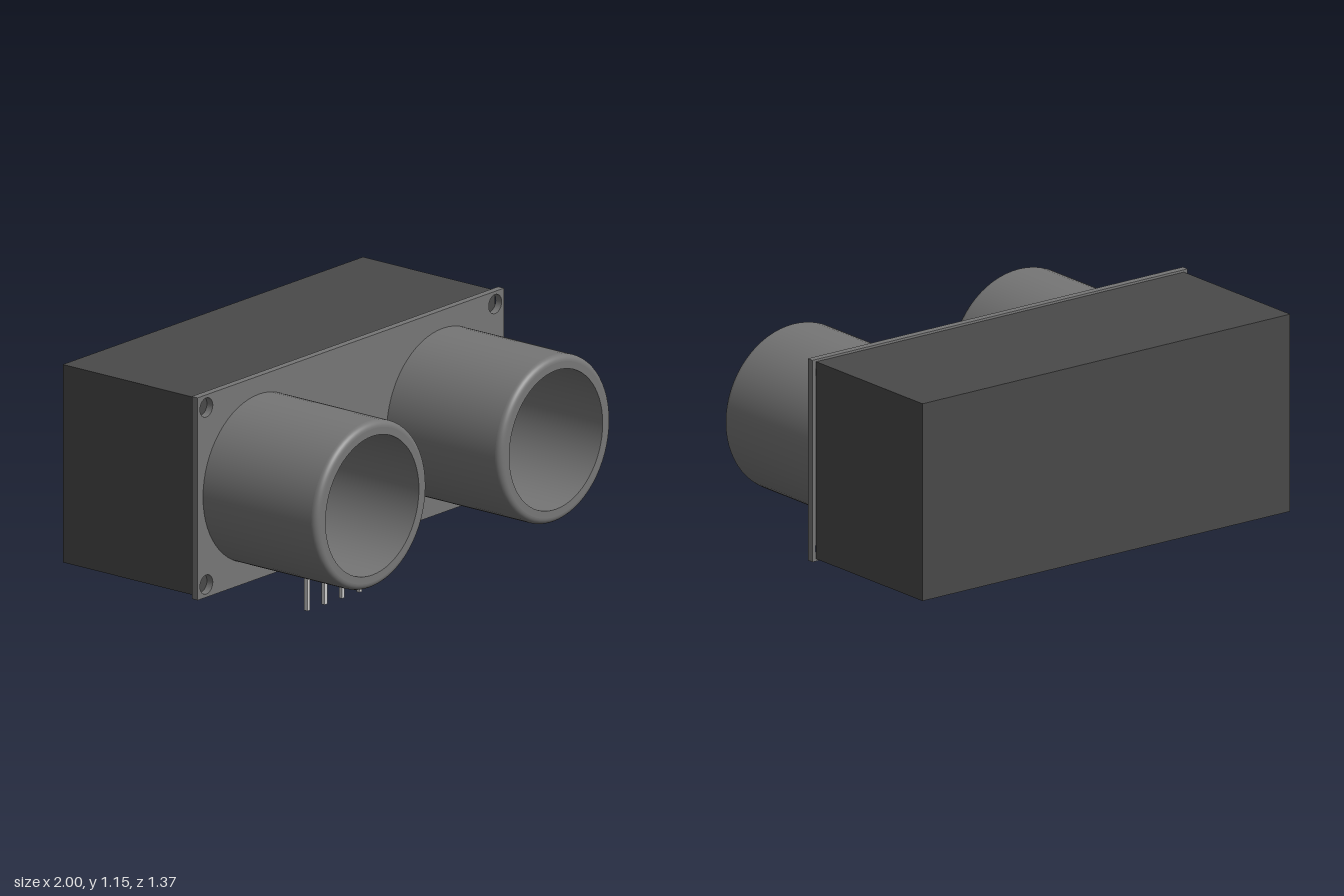
import * as THREE from 'three';

const mat = (color, side = THREE.FrontSide) => new THREE.MeshStandardMaterial({ color, side });
const boardMat = mat(0x767676);
const housingMat = mat(0x494949);
const pinMat = mat(0xcccccc);

function add(parent, name, geometry, material, x = 0, y = 0, z = 0) {
  const mesh = new THREE.Mesh(geometry, material);
  mesh.name = name;
  mesh.position.set(x, y, z);
  parent.add(mesh);
  return mesh;
}

const box = (w, h, d) => new THREE.BoxGeometry(w, h, d);

// Thin plate with a mounting hole in each corner
function boardGeometry(w, h, depth) {
  const shape = new THREE.Shape();
  shape.moveTo(-w / 2, -h / 2);
  shape.lineTo(w / 2, -h / 2);
  shape.lineTo(w / 2, h / 2);
  shape.lineTo(-w / 2, h / 2);
  shape.closePath();
  for (const sx of [-1, 1]) for (const sy of [-1, 1]) {
    const hole = new THREE.Path();
    hole.absarc(sx * (w / 2 - 0.057), sy * (h / 2 - 0.056), 0.042, 0, Math.PI * 2, true);
    shape.holes.push(hole);
  }
  return new THREE.ExtrudeGeometry(shape, { depth, bevelEnabled: false, curveSegments: 24 });
}

// Open tube with a rounded rim; each profile piece is its own lathe so edges stay sharp
function addTube(parent, name, x, y, z) {
  const group = new THREE.Group();
  group.name = name;
  group.position.set(x, y, z);
  group.rotation.x = Math.PI / 2;
  const R = 0.365, r = 0.305, L = 0.62, f = 0.028;
  const outer = [new THREE.Vector2(R, 0), new THREE.Vector2(R, L - f)];
  const fillet = [];
  for (let i = 0; i <= 8; i++) {
    const a = (i / 8) * Math.PI / 2;
    fillet.push(new THREE.Vector2(R - f + f * Math.cos(a), L - f + f * Math.sin(a)));
  }
  const rim = [new THREE.Vector2(R - f, L), new THREE.Vector2(r, L)];
  const inner = [new THREE.Vector2(r, L), new THREE.Vector2(r, 0)];
  const parts = { outerWall: outer, rimFillet: fillet, rimFace: rim, innerWall: inner };
  for (const [part, points] of Object.entries(parts)) {
    add(group, part, new THREE.LatheGeometry(points, 64), boardMat);
  }
  parent.add(group);
}

// Bent pin with a solder dome where it comes through the board
function addPin(parent, x) {
  const group = new THREE.Group();
  group.name = 'pin';
  group.position.x = x;
  const t = 0.017, y = 0.36, z = -0.022, tip = 0.105;
  add(group, 'pinLeg', box(t, y + t / 2, t), pinMat, 0, (y + t / 2) / 2, z);
  add(group, 'pinTip', box(t, t, tip - z), pinMat, 0, y, (tip + z) / 2);
  const dome = new THREE.SphereGeometry(0.038, 24, 8, 0, Math.PI * 2, 0, Math.PI / 2);
  dome.scale(1, 0.65, 1).rotateX(Math.PI / 2);
  add(group, 'solderDome', dome, pinMat, 0, y, 0.068);
  parent.add(group);
}

export function createModel() {
  const model = new THREE.Group();
  model.name = 'rangeSensor';

  const midY = 0.705, boardBack = 0.036, boardFront = 0.068;
  add(model, 'board', boardGeometry(2, 0.89, boardFront - boardBack), boardMat, 0, midY, boardBack);

  // Housing behind the board
  const back = -0.686;
  add(model, 'housing', box(1.96, 0.87, boardBack - back), housingMat, 0, midY, (boardBack + back) / 2);

  addTube(model, 'leftTube', 0.6, midY, boardFront);
  addTube(model, 'rightTube', -0.6, midY, boardFront);

  for (let i = 0; i < 4; i++) addPin(model, -0.178 + i * 0.1135);

  return model;
}
